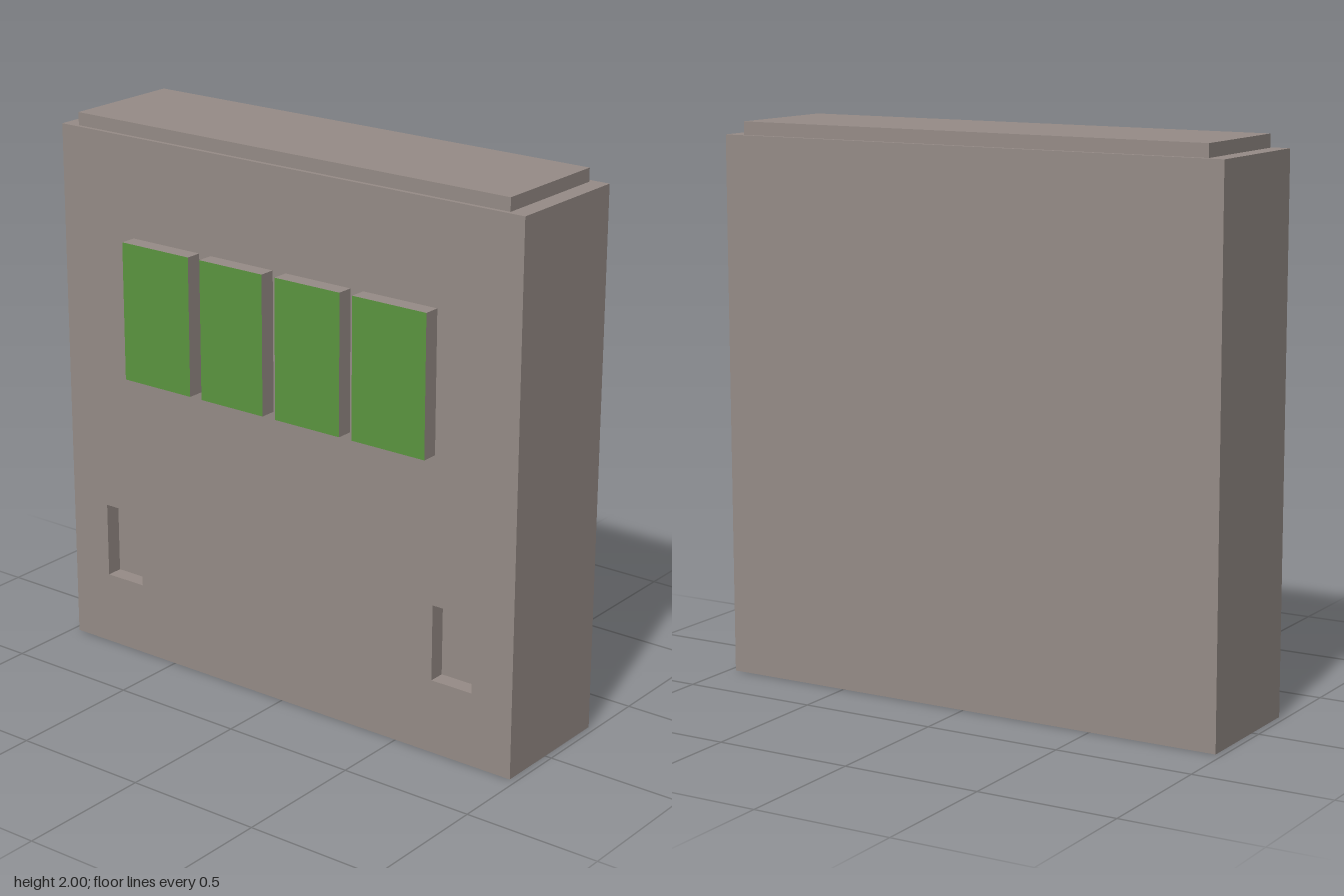
import * as THREE from 'three';

export function createModel() {
  const group = new THREE.Group();
  const casing = new THREE.MeshStandardMaterial({ color: 0x968c87 });
  casing.name = 'warm grey casing';
  const green = new THREE.MeshStandardMaterial({ color: 0x5b953f });
  green.name = 'green panel';

  // Box given by its minimum and maximum corners
  function addBox(name, [x0, y0, z0], [x1, y1, z1], material) {
    const mesh = new THREE.Mesh(new THREE.BoxGeometry(x1 - x0, y1 - y0, z1 - z0), material);
    mesh.position.set((x0 + x1) / 2, (y0 + y1) / 2, (z0 + z1) / 2);
    mesh.name = name;
    group.add(mesh);
  }

  function rectangle(path, x0, y0, x1, y1) {
    path.moveTo(x0, y0);
    path.lineTo(x1, y0);
    path.lineTo(x1, y1);
    path.lineTo(x0, y1);
    path.closePath();
    return path;
  }

  const W = 0.975, H = 1.953, BACK = -0.275, FRONT = 0.215, RECESS = 0.06;

  // Main body, up to the floor of the recesses
  addBox('body', [-W, 0, BACK], [W, H, FRONT - RECESS], casing);

  // Front layer with two rectangular recesses cut through it
  const face = rectangle(new THREE.Shape(), -W, 0, W, H);
  for (const x of [-0.815, 0.648]) {
    face.holes.push(rectangle(new THREE.Path(), x, 0.27, x + 0.165, 0.547));
  }
  const frontLayer = new THREE.Mesh(
    new THREE.ExtrudeGeometry(face, { depth: RECESS, bevelEnabled: false }), casing);
  frontLayer.position.z = FRONT - RECESS;
  frontLayer.name = 'frontLayer';
  group.add(frontLayer);

  // Stepped cap on top
  addBox('topCap', [-0.91, H, -0.255], [0.91, 2, 0.2], casing);

  // Raised panels with green front faces
  const panelMaterials = [casing, casing, casing, casing, green, casing];
  const spans = [[-0.652, -0.353], [-0.302, -0.03], [0.025, 0.298], [0.35, 0.648]];
  spans.forEach(([x0, x1], i) => {
    addBox(`panel${i + 1}`, [x0, 1.085, FRONT], [x1, 1.59, 0.275], panelMaterials);
  });

  return group;
}
